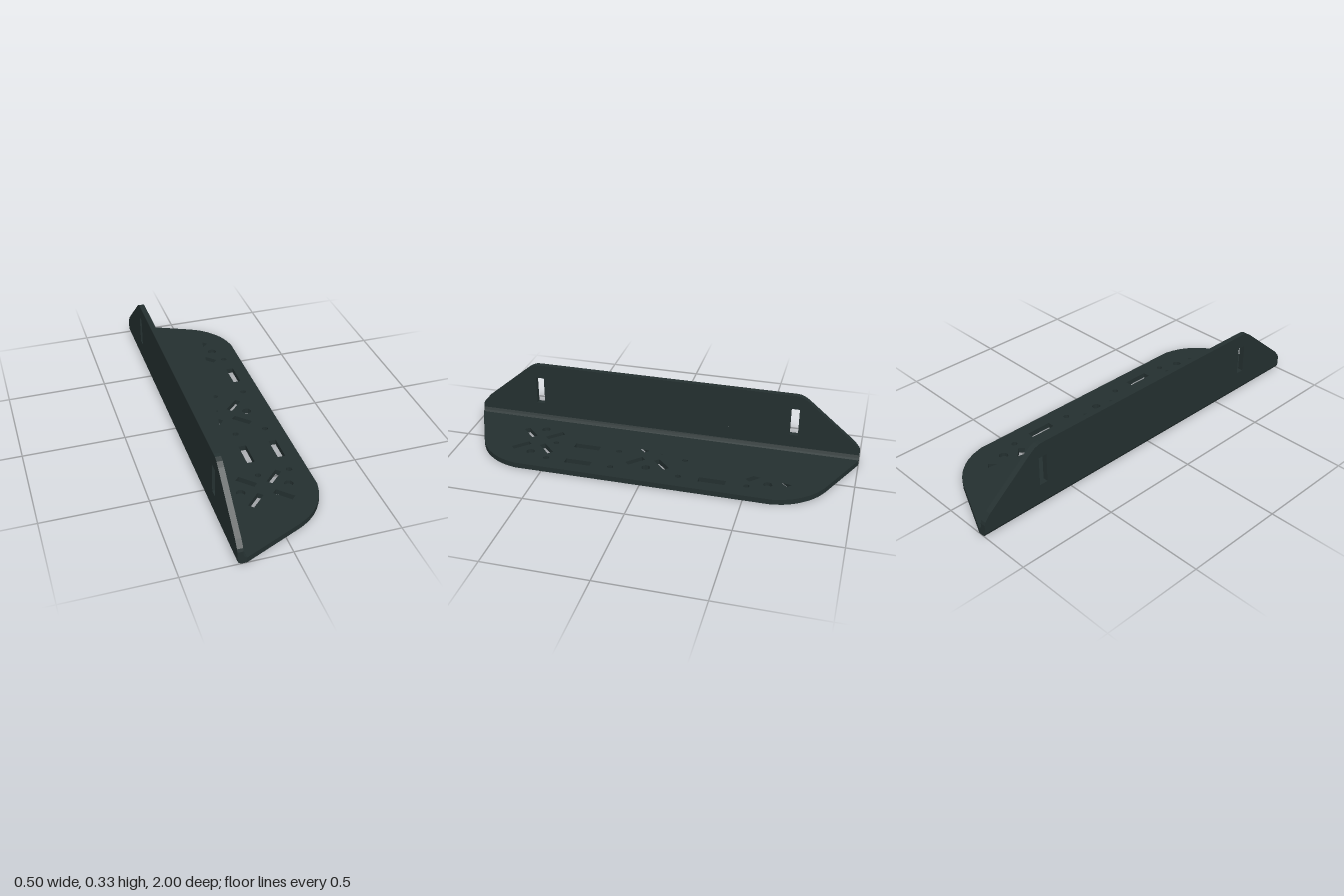
import * as THREE from 'three';

const T = 0.027; // sheet thickness

const polygon = (pts, Type = THREE.Shape) => new Type(pts.map(([x, y]) => new THREE.Vector2(x, y)));

// Rectangular cut-out, optionally rotated about its centre
function slot(cx, cy, w, h, angle = 0) {
  const c = Math.cos(angle), s = Math.sin(angle);
  const corners = [[-w, -h], [-w, h], [w, h], [w, -h]];
  return polygon(corners.map(([x, y]) => [
    cx + (x * c - y * s) / 2, cy + (x * s + y * c) / 2,
  ]), THREE.Path);
}

// Round cut-out with few sides
function roundHole(cx, cy, r, sides) {
  const pts = [];
  for (let i = 0; i < sides; i++) {
    const a = -(i + 0.5) / sides * Math.PI * 2;
    pts.push([cx + r * Math.cos(a), cy + r * Math.sin(a)]);
  }
  return polygon(pts, THREE.Path);
}

// Outline mirrored about one axis: half a contour, then its reflection
const mirrored = (half, sx, sy) =>
  polygon([...half, ...half.slice().reverse().map(([x, y]) => [x * sx, y * sy])]);

const extrude = (shape, depth) =>
  new THREE.ExtrudeGeometry(shape, { depth, bevelEnabled: false });

export function createModel() {
  const group = new THREE.Group();
  const darkMetal = new THREE.MeshStandardMaterial({ color: 0x243030 });
  darkMetal.name = 'darkMetal';
  const add = (name, geometry) => {
    const mesh = new THREE.Mesh(geometry, darkMetal);
    mesh.name = name;
    group.add(mesh);
    return mesh;
  };

  // Base plate with rounded outer corners
  const base = mirrored([
    [-0.207, -1], [0.085, -0.867], [0.13, -0.84], [0.168, -0.807],
    [0.198, -0.77], [0.22, -0.735], [0.238, -0.69], [0.25, -0.64],
  ], 1, -1);

  const columns = [-0.143, 0.013, 0.165];
  // Crossed slots and their flanking round holes
  for (const z of [-0.6, 0, 0.6]) {
    for (const sx of [-1, 1]) for (const sz of [-1, 1]) {
      base.holes.push(slot(0.013 + sx * 0.067, z + sz * 0.067, 0.096, 0.03, sx * sz * Math.PI / 4));
    }
    for (const x of [-0.103, 0.127]) {
      base.holes.push(roundHole(x, z, 0.022, 10));
      // The end holes are blind, closed near the underside
      if (z !== 0) {
        const floor = add('blindHoleFloor', new THREE.CylinderGeometry(0.0222, 0.0222, 0.008, 10));
        floor.rotation.y = Math.PI / 10;
        floor.position.set(x, 0.004, z);
      }
    }
  }
  // Small bolt holes
  for (const x of columns) for (const z of [-0.504, -0.17, 0.17, 0.504]) {
    base.holes.push(roundHole(x, z, 0.015, 8));
  }
  // Straight slots: two at the back, three at the front
  for (const x of columns) {
    base.holes.push(slot(x, -0.337, 0.037, 0.132));
    if (x === columns[1]) base.holes.pop();
  }
  for (const x of columns) base.holes.push(slot(x, 0.337, 0.037, 0.132));
  // Shape y is -z once laid flat, so flip the cut-outs' z
  for (const hole of base.holes) {
    for (const curve of hole.curves) {
      curve.v1.y *= -1;
      curve.v2.y *= -1;
    }
  }
  add('basePlate', extrude(base, T).rotateX(-Math.PI / 2));

  // Upright side wall with chamfered ends and two slots
  const wall = mirrored([
    [1, 0.065], [0.995, 0.08], [0.968, 0.112], [0.735, 0.306],
    [0.712, 0.322], [0.69, 0.331], [0.67, 0.333],
  ], -1, 1);
  for (const z of [-0.669, 0.669]) wall.holes.push(slot(z, 0.187, 0.043, 0.146));
  add('sideWall', extrude(wall, T).rotateY(Math.PI / 2).translate(-0.25, 0, 0));

  // Folded corner joining the wall to the base
  const bend = polygon([
    [-0.25, 0.065], [-0.25, 0.02], [-0.244, 0.007], [-0.231, 0], [-0.207, 0],
    [-0.207, T], [-0.218, 0.033], [-0.223, 0.047], [-0.223, 0.065],
  ]);
  add('foldedCorner', extrude(bend, 2).translate(0, 0, -1));

  return group;
}
